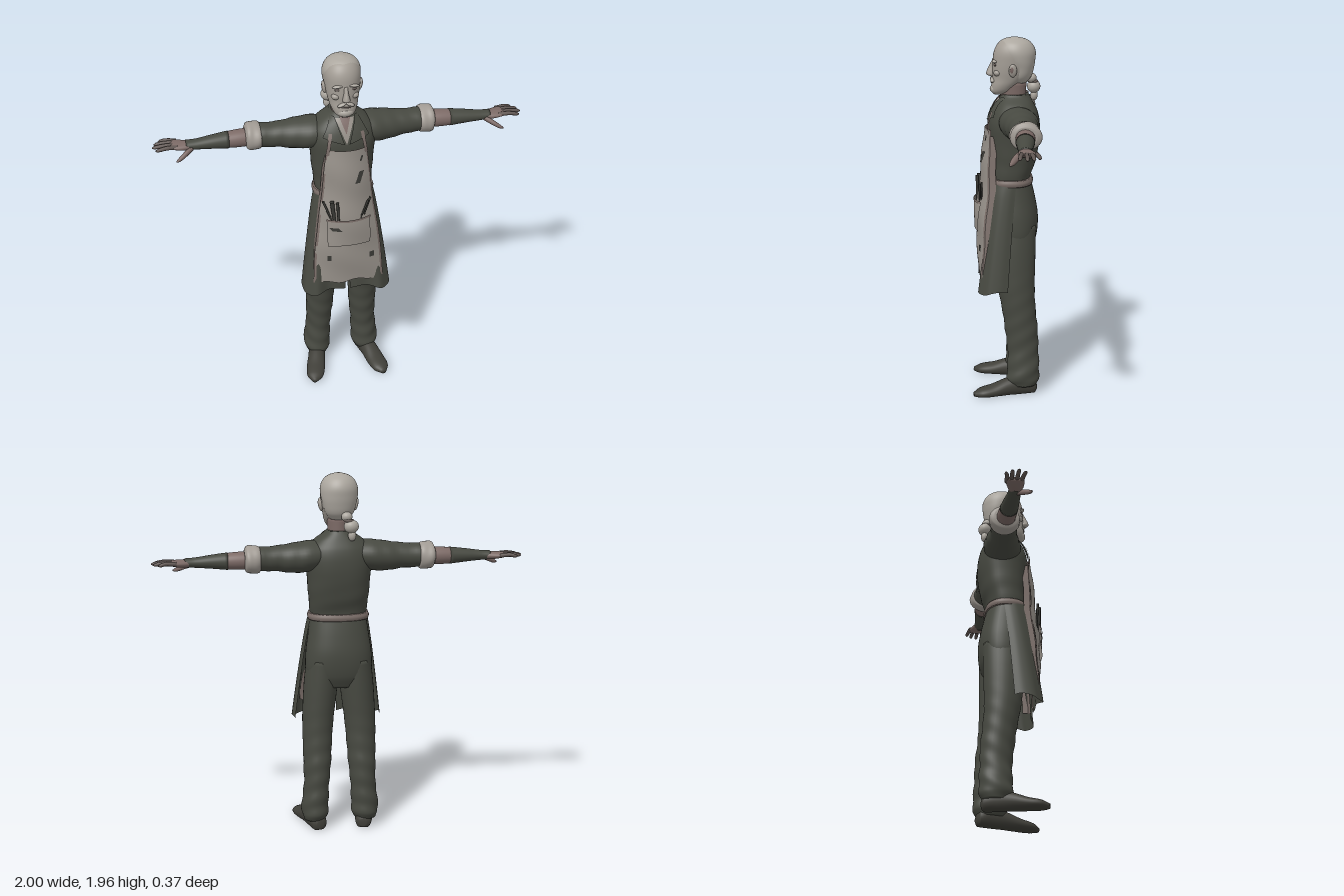
import * as THREE from 'three';

const mat = (name, color, side = THREE.FrontSide) => {
  const m = new THREE.MeshStandardMaterial({ color, side });
  m.name = name;
  return m;
};

// Smooth interpolation of section rows [t, centreA, centreB, radiusA, radiusB]
function at(rows, t) {
  let i = 0;
  while (i < rows.length - 2 && t > rows[i + 1][0]) i++;
  const p = rows[i], q = rows[i + 1], h = q[0] - p[0], u = Math.min(1, Math.max(0, (t - p[0]) / h));
  const slope = (j, k) => {
    const a = rows[Math.max(0, j - 1)], b = rows[Math.min(rows.length - 1, j + 1)];
    return (b[k] - a[k]) / (b[0] - a[0]);
  };
  return p.map((v, k) => k === 0 ? t : v * (2 * u ** 3 - 3 * u * u + 1) + q[k] * (3 * u * u - 2 * u ** 3)
    + h * (slope(i, k) * (u ** 3 - 2 * u * u + u) + slope(i + 1, k) * (u ** 3 - u * u)));
}

// Closed loft along an axis; A,B are (x,z) for y, (z,y) for x and (y,x) for z
function loft(axis, rows, { n = 2, seg = 32, steps = 5, fold = () => 0 } = {}) {
  const pos = [], idx = [], ts = [];
  rows.forEach((r, i) => {
    if (i) for (let k = 1; k <= steps; k++) ts.push(rows[i - 1][0] + (r[0] - rows[i - 1][0]) * k / steps);
    else ts.push(r[0]);
  });
  const put = (a, t, b) => pos.push(...(axis === 'y' ? [a, t, b] : axis === 'x' ? [t, b, a] : [b, a, t]));
  const power = v => Math.sign(v) * Math.abs(v) ** (2 / n);
  for (const t of ts) {
    const [, ca, cb, ra, rb] = at(rows, t);
    for (let j = 0; j < seg; j++) {
      const th = j / seg * Math.PI * 2, f = 1 + fold(t, th);
      put(ca + Math.max(ra, 0.001) * f * power(Math.cos(th)), t, cb + Math.max(rb, 0.001) * f * power(Math.sin(th)));
    }
  }
  for (let i = 0; i < ts.length - 1; i++) for (let j = 0; j < seg; j++) {
    const a = i * seg + j, c = i * seg + (j + 1) % seg;
    idx.push(a, a + seg, c, c, a + seg, c + seg);
  }
  const last = (ts.length - 1) * seg, c0 = ts.length * seg;
  for (const r of [rows[0], rows.at(-1)]) put(r[1], r[0], r[2]);
  for (let j = 0; j < seg; j++) {
    const k = (j + 1) % seg;
    idx.push(c0, j, k, c0 + 1, last + k, last + j);
  }
  return build(pos, idx);
}

// Open sheet from a rule (u, v) -> [x, y, z]
function sheet(rule, nu = 12, nv = 12) {
  const pos = [], idx = [];
  for (let i = 0; i <= nv; i++) for (let j = 0; j <= nu; j++) pos.push(...rule(j / nu, i / nv));
  for (let i = 0; i < nv; i++) for (let j = 0; j < nu; j++) {
    const a = i * (nu + 1) + j, b = a + nu + 1;
    idx.push(a, a + 1, b, b, a + 1, b + 1);
  }
  return build(pos, idx);
}

function build(pos, idx) {
  const g = new THREE.BufferGeometry();
  g.setAttribute('position', new THREE.Float32BufferAttribute(pos, 3));
  g.setIndex(idx);
  g.computeVertexNormals();
  return g;
}

function mirrored(geo) {
  const g = geo.clone().scale(-1, 1, 1), ix = g.index.array;
  for (let i = 0; i < ix.length; i += 3) [ix[i], ix[i + 1]] = [ix[i + 1], ix[i]];
  g.computeVertexNormals();
  return g;
}

const ball = (x, y, z, rx, ry, rz, tilt = 0) =>
  new THREE.SphereGeometry(1, 20, 14).scale(rx, ry, rz).rotateZ(tilt).translate(x, y, z);
const rod = (x, y, z, r, len, tilt) => new THREE.CylinderGeometry(r, r * 0.7, len, 10).rotateZ(tilt).translate(x, y, z);
const mix = (a, b, t) => a + (b - a) * t;

export function createModel() {
  const model = new THREE.Group();
  model.name = 'apronedCraftsman';
  const dark = mat('darkCloth', 0x474941, THREE.DoubleSide), pale = mat('paleSkin', 0xa39d95);
  const hair = mat('greyHair', 0xaca79f), linen = mat('linen', 0x969089, THREE.DoubleSide);
  const trim = mat('fadedTrim', 0x7b6e69, THREE.DoubleSide), skin = mat('weatheredSkin', 0x7c6a66);
  const finger = mat('stainedSkin', 0x5f5551), shoe = mat('shoeLeather', 0x403f39);
  const ink = mat('darkStain', 0x3b3b37, THREE.DoubleSide), cuffCloth = mat('cuffCloth', 0xa19b94);
  const add = (name, geo, m) => {
    const mesh = new THREE.Mesh(geo, m);
    mesh.name = name;
    model.add(mesh);
  };
  const pair = (name, geo, m) => {
    add(name + 'Left', geo, m);
    add(name + 'Right', mirrored(geo), m);
  };

  // Shirt body
  const torso = [[1.1, 0, -0.03, 0.15, 0.11], [1.2, 0, -0.02, 0.153, 0.108], [1.3, 0, -0.035, 0.163, 0.122],
    [1.42, 0, -0.04, 0.172, 0.137], [1.5, 0, -0.04, 0.18, 0.137], [1.56, 0, -0.043, 0.17, 0.122],
    [1.605, 0, -0.043, 0.13, 0.1], [1.64, 0, -0.045, 0.08, 0.08], [1.655, 0, -0.045, 0.066, 0.072]];
  const frontZ = (rows, x, y, n = 2) => {
    const [, cx, cz, rx, rz] = at(rows, y);
    return cz + rz * Math.max(0, 1 - Math.abs((x - cx) / rx) ** n) ** (1 / n);
  };
  add('shirt', loft('y', torso, { n: 2.4, seg: 48, fold: (y, a) => 0.012 * Math.sin(y * 60 + 3 * Math.cos(a)) * Math.max(0, 1.45 - y) * 4 }), dark);
  add('neck', loft('y', [[1.56, 0, -0.035, 0.062, 0.075], [1.63, 0, -0.035, 0.058, 0.068], [1.72, 0, -0.03, 0.06, 0.075]]), skin);

  // Open neckline and collar flaps lying on the chest
  const onChest = (x, y, lift) => [x, y, frontZ(torso, x, y, 2.4) + lift];
  add('undershirt', sheet((u, v) => onChest((u - 0.5) * 0.1 * v, mix(1.505, 1.635, v), 0.005)), linen);
  add('throat', sheet((u, v) => onChest((u - 0.5) * 0.06 * v, mix(1.56, 1.645, v), 0.01)), skin);
  pair('collar', sheet((u, v) => onChest(mix(mix(0.012, 0.055, v), mix(0.125, 0.075, v), u), mix(mix(1.51, 1.645, v), mix(1.545, 1.64, v), u), 0.014)), dark);

  // Sleeves, rolled cuffs, forearms and wrist wraps
  pair('sleeve', loft('x', [[0.07, -0.05, 1.53, 0.09, 0.07], [0.16, -0.06, 1.52, 0.105, 0.083], [0.25, -0.07, 1.513, 0.09, 0.08],
    [0.34, -0.075, 1.513, 0.072, 0.068], [0.45, -0.085, 1.513, 0.068, 0.064]],
  { fold: (x, a) => 0.03 * Math.sin(x * 75 + 2 * Math.sin(a)) * Math.min(1, x * 2) }), dark);
  pair('cuff', loft('x', [[0.425, -0.085, 1.51, 0.06, 0.055], [0.435, -0.085, 1.512, 0.078, 0.07], [0.47, -0.088, 1.512, 0.082, 0.074],
    [0.5, -0.088, 1.514, 0.078, 0.07], [0.512, -0.088, 1.514, 0.055, 0.05]], { fold: (x, a) => 0.025 * Math.sin(3 * a + x * 60) }), cuffCloth);
  pair('forearm', loft('x', [[0.48, -0.085, 1.508, 0.05, 0.047], [0.55, -0.083, 1.507, 0.05, 0.047], [0.63, -0.08, 1.505, 0.044, 0.041]]), skin);
  pair('wristWrap', loft('x', [[0.6, -0.081, 1.506, 0.049, 0.046], [0.68, -0.078, 1.505, 0.042, 0.037], [0.77, -0.075, 1.502, 0.034, 0.027],
    [0.825, -0.077, 1.502, 0.034, 0.024]]), dark);

  // Hands
  pair('palm', loft('x', [[0.79, -0.075, 1.5, 0.029, 0.021], [0.84, -0.08, 1.5, 0.043, 0.021], [0.885, -0.088, 1.503, 0.05, 0.016],
    [0.905, -0.09, 1.504, 0.046, 0.01]]), skin);
  [[-0.127, -0.14, 0.965], [-0.103, -0.112, 0.99], [-0.078, -0.08, 1], [-0.055, -0.045, 0.985]].forEach(([z0, z1, tip], i) =>
    pair('finger' + (i + 1), loft('x', [[0.87, z0, 1.504, 0.012, 0.012], [0.925, mix(z0, z1, 0.5), 1.508, 0.011, 0.011],
      [tip - 0.012, z1, 1.502, 0.009, 0.009], [tip, z1, 1.5, 0.003, 0.003]], { seg: 12 }), finger));
  pair('thumb', loft('x', [[0.79, -0.06, 1.493, 0.018, 0.016], [0.83, -0.03, 1.475, 0.018, 0.016], [0.865, -0.01, 1.457, 0.013, 0.012],
    [0.885, 0, 1.45, 0.004, 0.004]], { seg: 14 }), skin);

  // Trousers
  add('trouserSeat', loft('y', [[0.8, 0, -0.045, 0.14, 0.085], [0.87, 0, -0.045, 0.178, 0.115], [0.98, 0, -0.042, 0.18, 0.128],
    [1.09, 0, -0.033, 0.165, 0.12], [1.2, 0, -0.02, 0.15, 0.106]], { n: 2.3, seg: 40 }), dark);
  pair('trouserLeg', loft('y', [[0.05, 0.14, -0.085, 0.06, 0.075], [0.09, 0.14, -0.085, 0.074, 0.09], [0.15, 0.138, -0.088, 0.073, 0.088],
    [0.25, 0.13, -0.086, 0.069, 0.085], [0.36, 0.125, -0.078, 0.075, 0.09], [0.46, 0.122, -0.066, 0.079, 0.091],
    [0.6, 0.117, -0.05, 0.085, 0.1], [0.8, 0.1, -0.042, 0.092, 0.112], [0.95, 0.088, -0.04, 0.088, 0.115]],
  { steps: 7, fold: (y, a) => 0.055 * Math.sin(y * 62 + 2.2 * Math.sin(a) + a) * Math.max(0, 0.75 - y) }), dark);

  // Toed-out shoes, flat on the ground
  const foot = loft('z', [[-0.165, 0.03, 0, 0.02, 0.02], [-0.15, 0.035, 0, 0.045, 0.042], [-0.08, 0.045, 0, 0.06, 0.047],
    [0, 0.04, 0, 0.05, 0.048], [0.08, 0.025, 0, 0.036, 0.052], [0.15, 0.018, 0, 0.026, 0.045], [0.19, 0.012, 0, 0.012, 0.015]], { seg: 28 });
  const fp = foot.attributes.position;
  for (let i = 0; i < fp.count; i++) fp.setY(i, Math.max(0, fp.getY(i)));
  foot.rotateY(0.24).translate(0.158, 0, 0);
  foot.computeVertexNormals();
  pair('shoe', foot, shoe);

  // Flared coat skirt panels, waist plan to hem plan
  const waist = [[0, 0.1], [0.08, 0.092], [0.13, 0.065], [0.156, 0.02], [0.158, -0.02], [0.15, -0.05]];
  const hem = [[0.012, 0.128], [0.1, 0.135], [0.18, 0.155], [0.232, 0.12], [0.246, 0.06], [0.235, -0.005]];
  const plan = pts => new THREE.CatmullRomCurve3(pts.map(([x, z]) => new THREE.Vector3(x, 0, z)));
  const top = plan(waist), low = plan(hem);
  pair('coatSkirt', sheet((u, v) => {
    const a = top.getPoint(u), b = low.getPoint(u), w = v ** 0.8;
    return [mix(a.x, b.x, w), mix(1.19, 0.6 + 0.012 * Math.sin(u * 9), v), mix(a.z, b.z, w) + 0.004 * Math.sin(u * 20) * v];
  }, 28, 16), dark);

  // Apron rows: height, centre depth, edge depth, half width
  const apronRows = [[0.67, 0.158, 0.135, 0.193], [0.85, 0.165, 0.125, 0.183], [1.02, 0.166, 0.11, 0.163], [1.2, 0.148, 0.095, 0.138],
    [1.35, 0.136, 0.095, 0.123], [1.475, 0.122, 0.09, 0.108]];
  const onApron = (x, y, lift = 0) => {
    const [, zc, ze, w] = at(apronRows, y);
    return [x, y, mix(zc, ze, (x / w) ** 2) + lift + 0.003 * Math.sin(y * 25 + x * 14)];
  };
  const apronSheet = (s0, s1, lift) => sheet((u, v) => {
    const y = mix(0.67, 1.475, v), s = mix(s0, s1, u);
    return onApron(s * at(apronRows, y)[3], y + 0.008 * Math.sin(s * 7) * (1 - v), lift);
  }, 20, 36);
  add('apron', apronSheet(-1, 1, 0), linen);
  add('apronLining', apronSheet(-1, 1, -0.006), trim);
  pair('apronEdge', apronSheet(0.94, 1.01, 0.003), trim);
  pair('apronSide', sheet((u, v) => {
    const y = mix(0.68, 1.44, v), w = at(apronRows, y)[3], p = onApron(w, y);
    return [w + 0.004 * u, y, p[2] - 0.035 * u];
  }, 2, 24), trim);
  pair('neckStrap', sheet((u, v) => onChest(mix(0.105, 0.085, v) + (u - 0.5) * 0.018, mix(1.45, 1.57, v), 0.018)), trim);
  add('waistTie', loft('y', [[1.17, 0, -0.021, 0.164, 0.117], [1.188, 0, -0.021, 0.168, 0.121], [1.207, 0, -0.021, 0.162, 0.115]], { n: 2.4, seg: 40 }), trim);

  // Pocket, stains and tools
  const patch = (x, y, w, h, lift, skew = 0) => sheet((u, v) => onApron(x + (u - 0.5) * w + (v - 0.5) * skew, y + (v - 0.5) * h, lift), 10, 8);
  add('pocket', patch(0, 1, 0.235, 0.16, 0.014), linen);
  add('pocketHem', patch(0, 1.077, 0.24, 0.012, 0.018), trim);
  [[0.062, 1.32, 0.028, 0.065, 0.025], [-0.075, 1.025, 0.05, 0.02, -0.02], [-0.108, 0.835, 0.02, 0.035, 0], [0.13, 0.83, 0.028, 0.032, 0],
    [0.075, 1.425, 0.012, 0.03, 0.01]].forEach(([x, y, w, h, k], i) => add('stain' + (i + 1), patch(x, y, w, h, i === 1 ? 0.018 : 0.005, k), ink));
  [[-0.112, 1.125, 0.007, 0.15, 0.35], [-0.085, 1.13, 0.012, 0.13, 0.12], [-0.06, 1.12, 0.008, 0.14, 0.05],
    [0.083, 1.12, 0.006, 0.13, -0.35], [0.1, 1.13, 0.006, 0.13, -0.3]].forEach(([x, y, r, len, tilt], i) =>
    add('tool' + (i + 1), rod(x, y, onApron(x, y)[2] + 0.012, r, len, tilt), ink));

  // Head
  const head = [[1.652, 0, 0.045, 0.025, 0.025], [1.668, 0, 0.032, 0.052, 0.052], [1.7, 0, 0.014, 0.07, 0.07], [1.74, 0, -0.012, 0.081, 0.089],
    [1.78, 0, -0.026, 0.09, 0.104], [1.83, 0, -0.036, 0.096, 0.112], [1.88, 0, -0.04, 0.096, 0.11], [1.92, 0, -0.039, 0.08, 0.09],
    [1.945, 0, -0.037, 0.05, 0.058], [1.955, 0, -0.036, 0.012, 0.014]];
  add('head', loft('y', head, { n: 2.15, seg: 40 }), pale);
  add('hair', loft('y', [[1.715, 0, -0.06, 0.05, 0.045], [1.75, 0, -0.07, 0.076, 0.062], [1.8, 0, -0.073, 0.09, 0.073], [1.84, 0, -0.062, 0.099, 0.09],
    [1.885, 0, -0.05, 0.1, 0.103], [1.925, 0, -0.045, 0.082, 0.088], [1.948, 0, -0.041, 0.05, 0.058], [1.959, 0, -0.04, 0.01, 0.012]], { seg: 40 }), hair);
  add('nose', loft('y', [[1.748, 0, 0.078, 0.012, 0.012], [1.758, 0, 0.085, 0.02, 0.024], [1.772, 0, 0.084, 0.018, 0.026],
    [1.8, 0, 0.077, 0.012, 0.021], [1.832, 0, 0.068, 0.01, 0.014]], { seg: 20 }), pale);
  pair('cheek', ball(0.048, 1.772, 0.05, 0.025, 0.018, 0.022), pale);
  pair('ear', ball(0.096, 1.79, -0.03, 0.012, 0.036, 0.022, -0.15), pale);
  pair('earHollow', ball(0.104, 1.792, -0.026, 0.005, 0.02, 0.011, -0.15), skin);
  pair('brow', ball(0.042, 1.833, 0.066, 0.03, 0.008, 0.014, -0.12), hair);
  pair('eyeSocket', ball(0.039, 1.814, 0.063, 0.02, 0.008, 0.009), finger);
  pair('moustache', ball(0.022, 1.732, 0.077, 0.026, 0.009, 0.013, -0.4), hair);
  add('mouth', ball(0, 1.716, 0.08, 0.026, 0.004, 0.007), finger);
  add('beard', ball(0, 1.681, 0.054, 0.047, 0.028, 0.038), hair);

  // Ponytail, tied low on the right
  [[-0.03, 1.735, -0.133, 0.03, 0.026], [-0.052, 1.685, -0.146, 0.04, 0.036], [-0.056, 1.637, -0.148, 0.022, 0.03]].forEach(([x, y, z, r, h], i) =>
    add('ponytail' + (i + 1), ball(x, y, z, r, h, r * 0.9), hair));
  add('hairTie', new THREE.TorusGeometry(0.022, 0.007, 8, 20).rotateX(Math.PI / 2).translate(-0.04, 1.716, -0.14), trim);

  return model;
}
